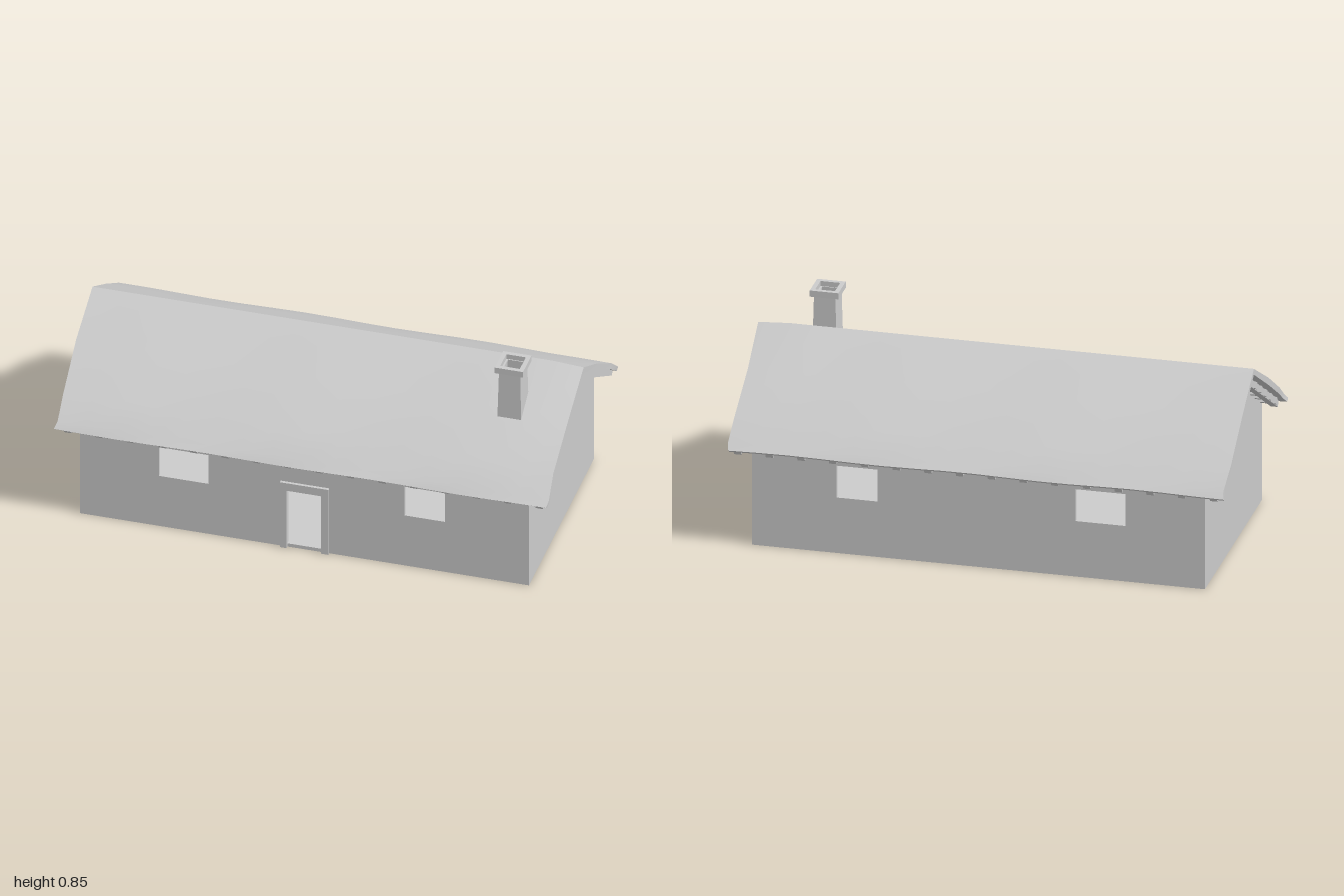
import * as THREE from 'three';
import { toCreasedNormals } from 'three/addons/utils/BufferGeometryUtils.js';

const material = new THREE.MeshStandardMaterial({ color: 0xcccccc });

function add(parent, name, geometry, x = 0, y = 0, z = 0) {
  const mesh = new THREE.Mesh(geometry, material);
  mesh.name = name;
  mesh.position.set(x, y, z);
  parent.add(mesh);
  return mesh;
}

// Polygon with optional rectangular holes [x0, y0, x1, y1], extruded along z
function panel(points, holes, depth) {
  const shape = new THREE.Shape(points.map(p => new THREE.Vector2(...p)));
  for (const [x0, y0, x1, y1] of holes) {
    shape.holes.push(new THREE.Path([[x0, y0], [x0, y1], [x1, y1], [x1, y0]].map(p => new THREE.Vector2(...p))));
  }
  return new THREE.ExtrudeGeometry(shape, { depth, bevelEnabled: false });
}

const rect = (x0, y0, x1, y1) => [[x0, y0], [x1, y0], [x1, y1], [x0, y1]];

// Upright hollow square tube
function squareTube(w, d, wall, height) {
  const a = w / 2, b = d / 2;
  return panel(rect(-a, -b, a, b), [[wall - a, wall - b, a - wall, b - wall]], height).rotateX(-Math.PI / 2);
}

// Uneven roof slab: a box bent over the ridge and gently wobbled
function roofGeometry() {
  const top = [[0, 0.753], [0.2, 0.635], [0.4, 0.508], [0.49, 0.437], [0.515, 0.415]];
  const under = [[0, 0.728], [0.2, 0.604], [0.39, 0.486], [0.47, 0.428], [0.5, 0.404]];
  const geo = new THREE.BoxGeometry(2, 2, 8, 16, 1, 8);
  const p = geo.attributes.position;
  for (let i = 0; i < p.count; i++) {
    const x = p.getX(i), k = Math.round(p.getZ(i)), j = Math.abs(k);
    const [z, y] = (p.getY(i) > 0 ? top : under)[j];
    const wave = Math.sin(x * 9 + k * 1.3) * 0.004 * (j / 4);
    const endX = Math.abs(x) > 0.99 ? Math.sin(k * 2.1 + x) * 0.005 - 0.004 : 0;
    const sag = x > 0.9 ? 0.008 * (1 - j / 4) : 0;
    p.setXYZ(i, x + Math.sign(x) * endX, y + wave - sag, Math.sign(k) * (z + wave * 0.7));
  }
  return toCreasedNormals(geo, 0.35);
}

export function createModel() {
  const house = new THREE.Group();
  house.name = 'cottage';
  const X = 0.91, Z = 0.458, T = 0.015;

  // Walls with aligned openings
  const walls = new THREE.Group();
  walls.name = 'walls';
  house.add(walls);
  const windows = [[-0.59, 0.235, -0.39, 0.37], [0.405, 0.235, 0.57, 0.37]];
  const door = [-0.07, 0.015, 0.07, 0.27];
  add(walls, 'frontWall', panel(rect(-X, 0, X, 0.41), [...windows, door], T), 0, 0, Z - T);
  add(walls, 'backWall', panel(rect(-X, 0, X, 0.41), windows, T), 0, 0, -Z);
  const gable = panel([[-Z, 0], [Z, 0], [Z, 0.422], [0, 0.708], [-Z, 0.422]],
    [[-0.052, 0.477, 0.052, 0.577]], T).rotateY(Math.PI / 2);
  add(walls, 'leftGable', gable, X - T);
  add(walls, 'rightGable', gable, -X);
  add(house, 'floor', new THREE.BoxGeometry(2 * X - 0.004, 0.014, 2 * Z - 0.004), 0, 0.0075, 0);

  // Door surround
  add(house, 'doorFrame', panel(
    [[-0.097, 0], [-0.07, 0], [-0.07, 0.27], [0.07, 0.27], [0.07, 0], [0.1, 0], [0.1, 0.305], [-0.097, 0.305]],
    [], 0.022), 0, 0, Z - 0.01);

  // Rafters down each slope, crossed by purlins
  const frame = new THREE.Group();
  frame.name = 'roofFrame';
  house.add(frame);
  const run = 0.492, rise = 0.302, angle = Math.atan2(rise, run);
  const rafter = new THREE.BoxGeometry(0.03, 0.029, Math.hypot(run, rise));
  const purlin = new THREE.BoxGeometry(1.95, 0.026, 0.026);
  for (const side of [1, -1]) {
    for (let i = 0; i < 16; i++) {
      add(frame, 'rafter', rafter, -0.952 + i * 0.1275, 0.702 - rise / 2, side * run / 2).rotation.x = side * angle;
    }
    for (let i = 0; i < 6; i++) {
      const z = 0.028 + i * 0.0805;
      add(frame, 'purlin', purlin, 0, 0.702 - z * rise / run, side * z).rotation.x = side * angle;
    }
  }

  add(house, 'roof', roofGeometry());

  // Chimney, slightly tapered, with an open cap
  const chimney = new THREE.Group();
  chimney.name = 'chimney';
  chimney.position.set(0.766, 0.615, 0.181);
  house.add(chimney);
  const shaft = squareTube(0.096, 0.108, 0.012, 0.21);
  const p = shaft.attributes.position;
  for (let i = 0; i < p.count; i++) {
    const s = 1 - 0.1 * p.getY(i) / 0.21;
    p.setXYZ(i, p.getX(i) * s, p.getY(i), p.getZ(i) * s);
  }
  shaft.computeVertexNormals();
  add(chimney, 'chimneyShaft', shaft);
  add(chimney, 'chimneyCap', squareTube(0.115, 0.12, 0.018, 0.026), 0, 0.205, 0);

  return house;
}
